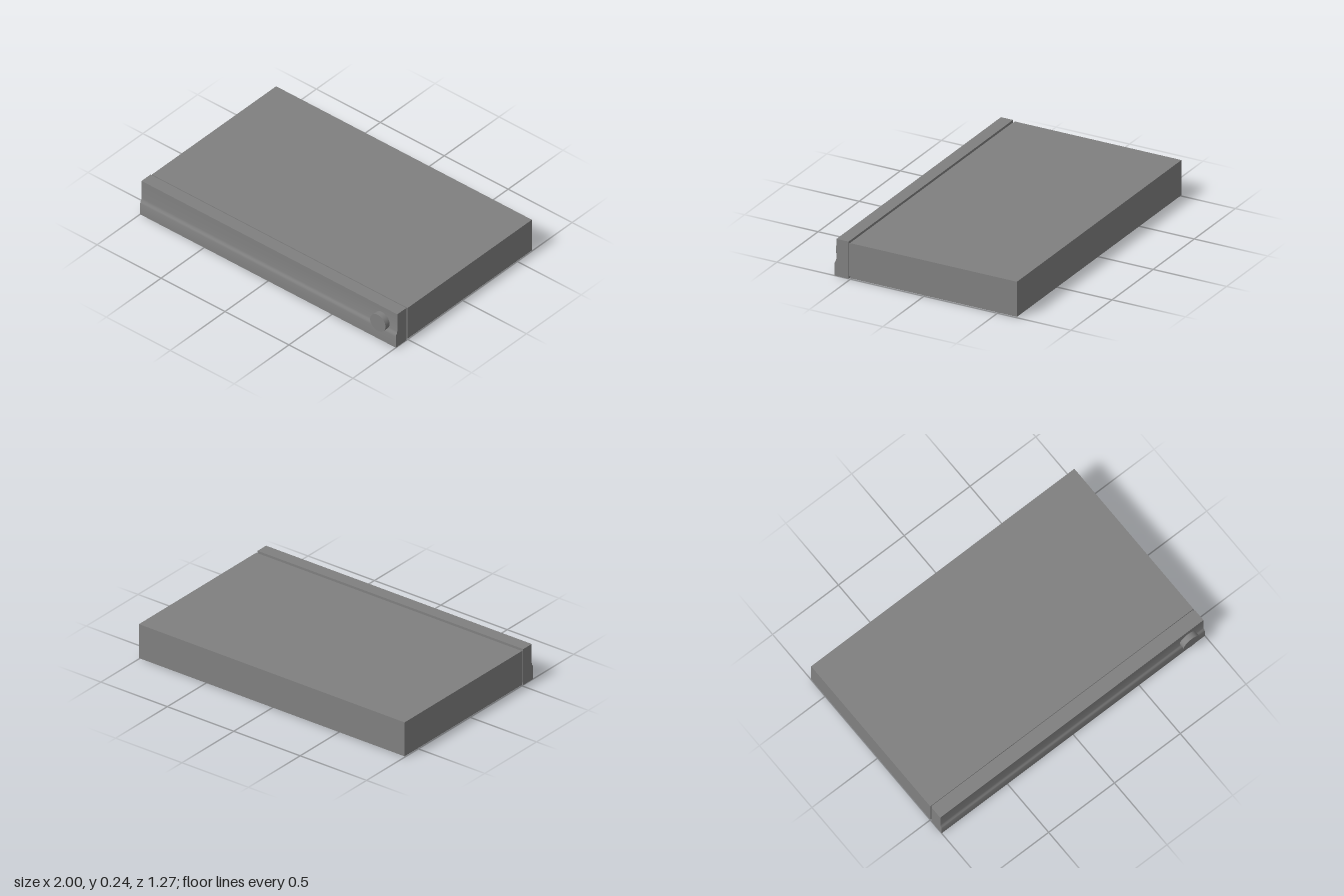
import * as THREE from 'three';
import { toCreasedNormals } from 'three/addons/utils/BufferGeometryUtils.js';

export function createModel() {
  const group = new THREE.Group();
  const material = new THREE.MeshStandardMaterial({ color: 0x808080 });

  const add = (name, geometry, x, y, z) => {
    const mesh = new THREE.Mesh(geometry, material);
    mesh.name = name;
    mesh.position.set(x, y, z);
    group.add(mesh);
  };
  // Box given by its width and its y and z ranges
  const addBox = (name, width, y0, y1, z0, z1) =>
    add(name, new THREE.BoxGeometry(width, y1 - y0, z1 - z0), 0, (y0 + y1) / 2, (z0 + z1) / 2);

  // Casing and the recessed seam behind the front panel
  addBox('casing', 2, 0.006, 0.235, -0.633, 0.5);
  addBox('seam', 1.985, 0.014, 0.226, 0.5, 0.513);

  // Front panel: side profile (z, y) with a soft step, swept across the width
  const profile = new THREE.Shape();
  profile.moveTo(0.513, 0);
  profile.lineTo(0.608, 0);
  profile.lineTo(0.608, 0.08);
  profile.bezierCurveTo(0.608, 0.097, 0.595, 0.095, 0.595, 0.115);
  profile.lineTo(0.595, 0.242);
  profile.lineTo(0.513, 0.242);
  profile.closePath();
  const panel = new THREE.ExtrudeGeometry(profile, { depth: 2, bevelEnabled: false, curveSegments: 3 });
  panel.rotateY(-Math.PI / 2);
  add('frontPanel', toCreasedNormals(panel, 0.7), 1, 0, 0);

  // Round push button, partly sunk into the panel
  const button = new THREE.CylinderGeometry(0.06, 0.06, 0.045, 48);
  button.rotateX(Math.PI / 2);
  add('powerButton', button, 0.88, 0.141, 0.6105);

  return group;
}
